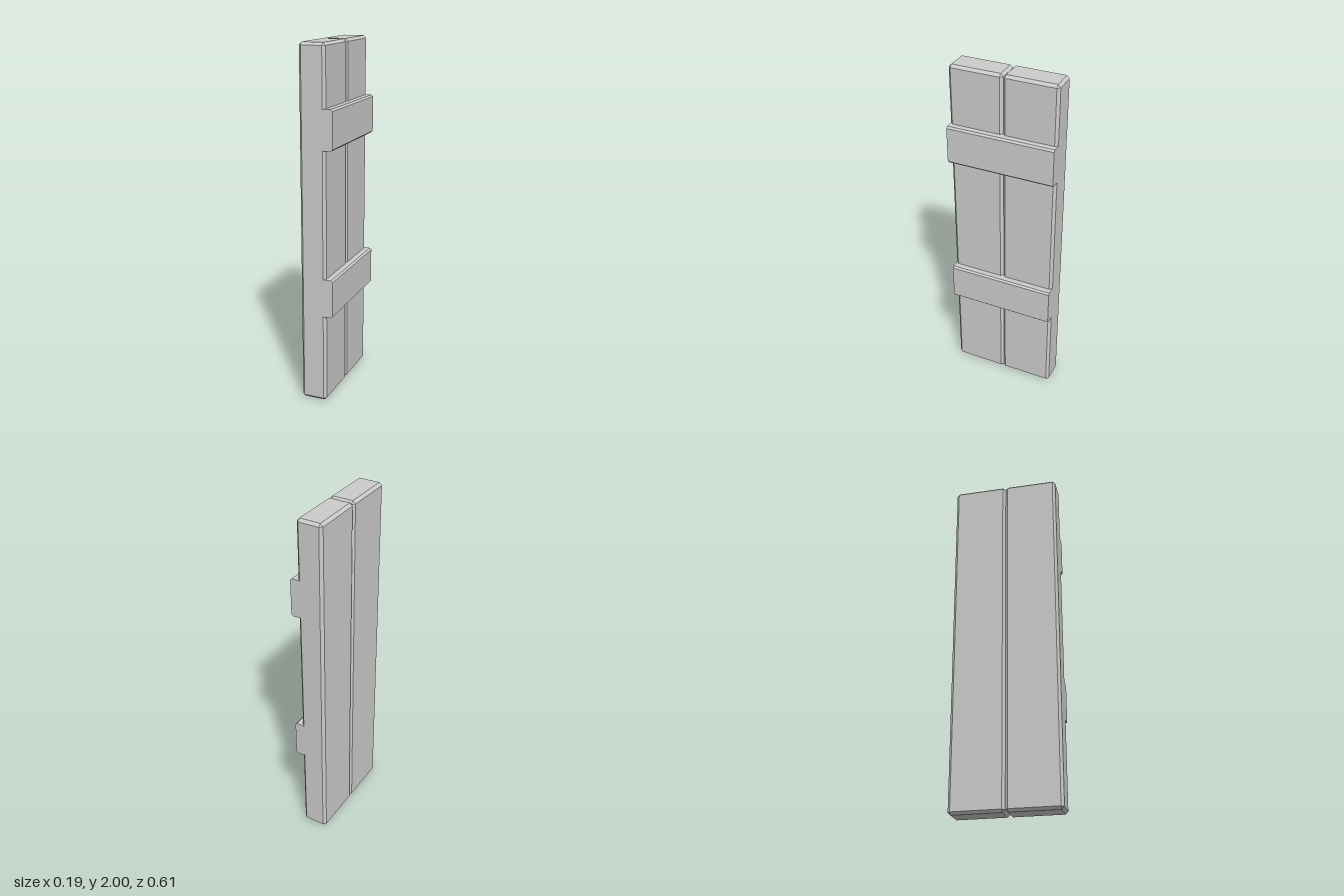
import * as THREE from 'three';
import { ConvexGeometry } from 'three/addons/geometries/ConvexGeometry.js';

const material = new THREE.MeshStandardMaterial({ color: 0xcccccc, flatShading: true });

// Box with every edge cut at 45 degrees, centred on the origin
function chamferedBox(w, h, d, c) {
  const points = [];
  for (const sx of [-1, 1]) for (const sy of [-1, 1]) for (const sz of [-1, 1]) {
    const x = w / 2, y = h / 2, z = d / 2;
    points.push(
      new THREE.Vector3(sx * x, sy * (y - c), sz * (z - c)),
      new THREE.Vector3(sx * (x - c), sy * y, sz * (z - c)),
      new THREE.Vector3(sx * (x - c), sy * (y - c), sz * z));
  }
  return new ConvexGeometry(points);
}

// Bar along z with its long edges cut and its ends square
function chamferedBar(w, h, length, c) {
  const x = w / 2, y = h / 2;
  const profile = new THREE.Shape([
    [x - c, -y], [x, c - y], [x, y - c], [x - c, y],
    [c - x, y], [-x, y - c], [-x, c - y], [c - x, -y],
  ].map(([px, py]) => new THREE.Vector2(px, py)));
  return new THREE.ExtrudeGeometry(profile, { depth: length, bevelEnabled: false })
    .translate(0, 0, -length / 2);
}

export function createModel() {
  const model = new THREE.Group();
  model.name = 'plankPanel';
  const add = (name, geometry, x, y, z) => {
    const mesh = new THREE.Mesh(geometry, material);
    mesh.name = name;
    mesh.position.set(x, y, z);
    model.add(mesh);
  };

  // Two upright planks side by side
  const plank = chamferedBox(0.148, 2, 0.307, 0.015);
  add('frontPlank', plank, -0.021, 1, 0.1535);
  add('backPlank', plank, -0.021, 1, -0.1535);

  // Two cross battens let into the left face
  const batten = chamferedBar(0.062, 0.22, 0.614, 0.01);
  add('upperBatten', batten, 0.064, 1.555, 0);
  add('lowerBatten', batten, 0.064, 0.623, 0);

  return model;
}
